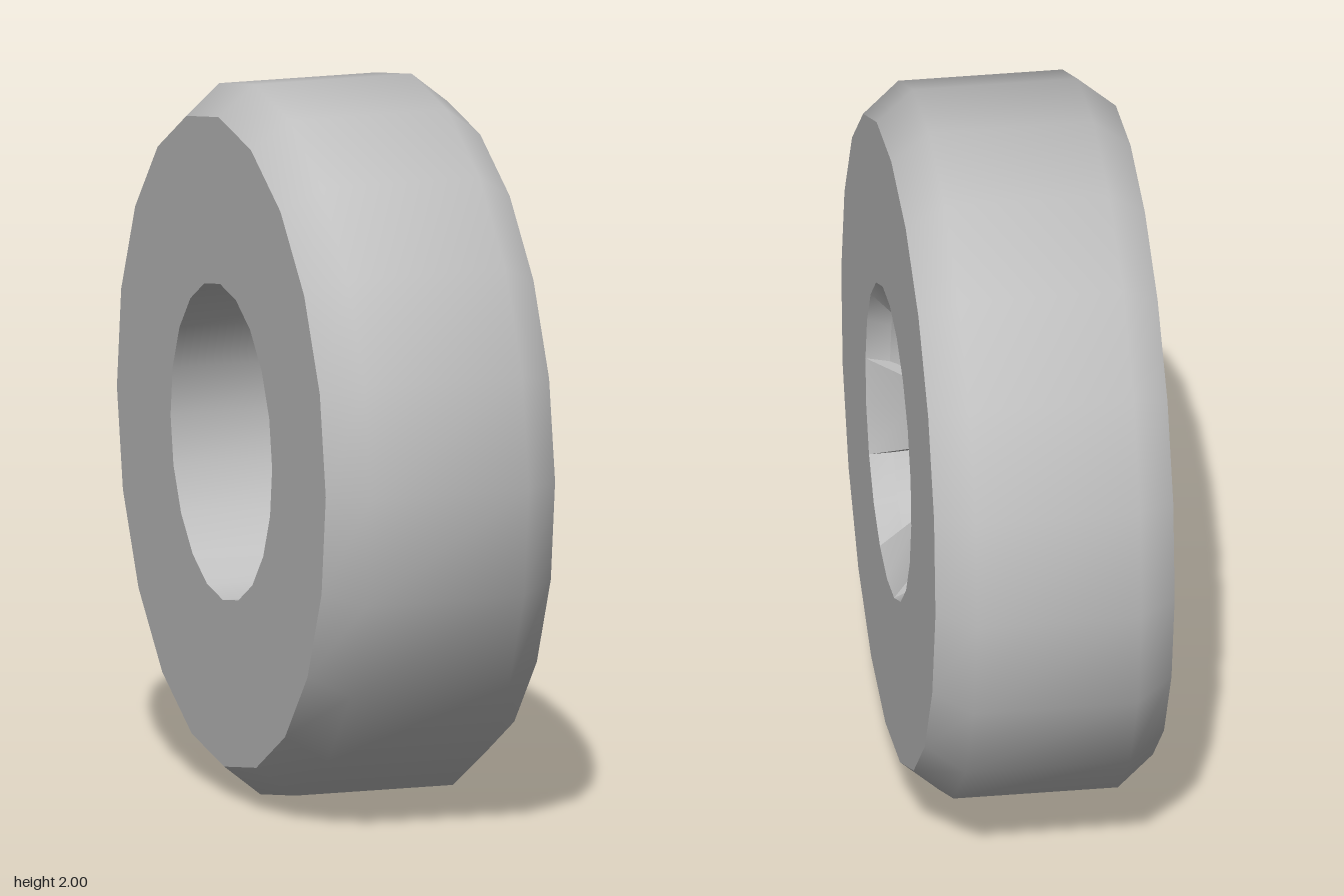
import * as THREE from 'three';
import { toCreasedNormals } from 'three/addons/utils/BufferGeometryUtils.js';

const DEG = Math.PI / 180;
const SIDES = 20;

// Profiles are [radius, position along the axle], counter-clockwise
const vectors = (profile) => profile.map(([r, a]) => new THREE.Vector2(r, a));

function ring(profile, crease = 45, segments = SIDES, start = 0, sweep = 360) {
  const lathe = new THREE.LatheGeometry(vectors(profile), segments, start * DEG, sweep * DEG);
  return toCreasedNormals(lathe, crease * DEG);
}

// Flat cut through a profile at an angle around the axle
function cutFace(profile, angle, flip) {
  const geometry = new THREE.ShapeGeometry(new THREE.Shape(vectors(profile)));
  if (flip) {
    geometry.index.array.reverse();
    geometry.computeVertexNormals();
  }
  return geometry.rotateY((angle - 90) * DEG);
}

export function createModel() {
  const grey = new THREE.MeshStandardMaterial({ color: 0xc0c0c0 });
  grey.name = 'grey';

  const model = new THREE.Group();
  model.name = 'wheel';
  const axle = new THREE.Group();
  axle.name = 'wheelBody';
  axle.rotation.z = -Math.PI / 2; // the axle runs along x, outer face towards +x

  function add(name, geometry, parent = axle) {
    const mesh = new THREE.Mesh(geometry, grey);
    mesh.name = name;
    parent.add(mesh);
    return mesh;
  }

  // Tyre with bevelled shoulders and a straight bore
  add('tyre', ring([
    [0.445, -0.335], [0.915, -0.335], [1, -0.23], [1, 0.23],
    [0.915, 0.335], [0.445, 0.335], [0.445, -0.335],
  ]));

  // Tapered lip around the windows of the rim
  add('rimLip', ring([[0.42, 0.27], [0.445, 0.27], [0.445, 0.335], [0.42, 0.27]]));

  // Hub with a recessed centre
  add('hub', ring([
    [0, 0.1], [0.235, 0.1], [0.235, 0.19], [0.175, 0.19], [0.15, 0.14], [0, 0.14],
  ], 35));

  // Five dished spokes
  const spokeProfile = [
    [0.235, 0.12], [0.33, 0.17], [0.42, 0.27], [0.445, 0.27],
    [0.445, 0.335], [0.33, 0.235], [0.235, 0.19],
  ];
  for (let i = 0; i < 5; i++) {
    const start = -72 + i * 72;
    const spoke = new THREE.Group();
    spoke.name = 'spoke' + (i + 1);
    add('spokeBody', ring([...spokeProfile, spokeProfile[0]], 35, 2, start, 36), spoke);
    add('spokeSideA', cutFace(spokeProfile, start, false), spoke);
    add('spokeSideB', cutFace(spokeProfile, start + 36, true), spoke);
    axle.add(spoke);
  }

  // Domed centre cap
  const cap = add('centreCap', new THREE.SphereGeometry(0.088, 20, 8, 0, Math.PI * 2, 0, Math.PI / 2));
  cap.scale.y = 0.7;
  cap.position.y = 0.14;

  // Lug nuts
  for (let i = 0; i < 5; i++) {
    const angle = (-90 + i * 72) * DEG;
    const nut = add('lugNut' + (i + 1),
      toCreasedNormals(new THREE.CylinderGeometry(0.022, 0.022, 0.04, 6), 30 * DEG));
    nut.position.set(0.12 * Math.sin(angle), 0.15, 0.12 * Math.cos(angle));
  }

  // The wheel leans and turns very slightly
  const lean = new THREE.Group();
  lean.name = 'lean';
  lean.rotation.set(0, 0.011, 0.009);
  lean.position.y = 1.002;
  lean.add(axle);
  model.add(lean);
  return model;
}
